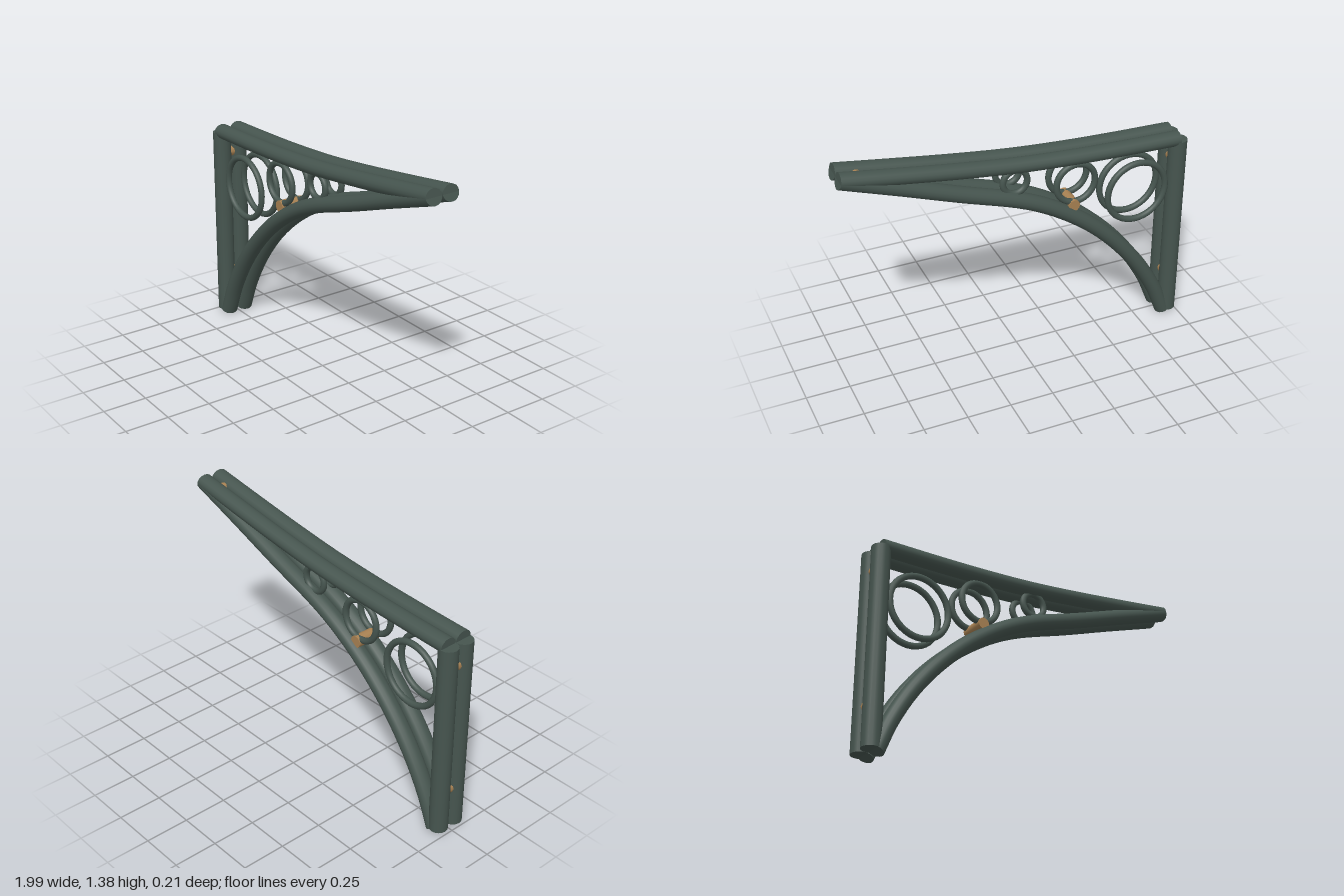
import * as THREE from 'three';
import { mergeGeometries } from 'three/addons/utils/BufferGeometryUtils.js';

const SIDES = 16;
const OFFSET = 0.0525; // distance of each frame from the middle plane

// Capped tube along a planar curve, slightly wider in z than it is tall
function cappedTube(points, radius, depth) {
  const curve = new THREE.CatmullRomCurve3(points.map(([x, y]) => new THREE.Vector3(x, y, 0)));
  const cap = (t, sign) => {
    const disc = new THREE.CircleGeometry(radius, SIDES);
    disc.lookAt(curve.getTangentAt(t).multiplyScalar(sign));
    const p = curve.getPointAt(t);
    return disc.translate(p.x, p.y, p.z);
  };
  const tube = new THREE.TubeGeometry(curve, 40, radius, SIDES);
  return mergeGeometries([tube, cap(0, -1), cap(1, 1)]).scale(1, 1, depth / radius);
}

export function createModel() {
  const iron = new THREE.MeshStandardMaterial({ color: 0x46554f });
  iron.name = 'dark green iron';
  const brass = new THREE.MeshStandardMaterial({ color: 0xa88152 });
  brass.name = 'tan bolt';

  const model = new THREE.Group();
  model.name = 'bracket';
  const add = (parent, name, geometry, material, x = 0, y = 0) => {
    const mesh = new THREE.Mesh(geometry, material);
    mesh.name = name;
    mesh.position.set(x, y, 0);
    parent.add(mesh);
    return mesh;
  };

  const postGeo = new THREE.CylinderGeometry(0.0525, 0.0525, 1.13, SIDES);
  const beamGeo = cappedTube([
    [-0.945, 1.16], [-0.6, 1.171], [-0.31, 1.185], [0.01, 1.21],
    [0.33, 1.249], [0.65, 1.295], [0.98, 1.345],
  ], 0.042, 0.05);
  const braceGeo = cappedTube([
    [-0.92, 0.02], [-0.85, 0.19], [-0.74, 0.38], [-0.6, 0.56], [-0.45, 0.71], [-0.31, 0.82],
    [-0.15, 0.92], [0.01, 0.995], [0.33, 1.107], [0.65, 1.225], [0.98, 1.343],
  ], 0.044, 0.05);

  // Decorative rings: x, y, radius
  const rings = [[-0.705, 0.877, 0.178], [-0.328, 1.02, 0.115], [0.03, 1.112, 0.07]]
    .map(([x, y, r]) => [new THREE.TorusGeometry(r, 0.018, 10, 40), x, y]);

  // Two identical side frames
  for (const [name, side] of [['frontFrame', 1], ['backFrame', -1]]) {
    const frame = new THREE.Group();
    frame.name = name;
    frame.position.z = side * OFFSET;
    add(frame, 'post', postGeo, iron, -0.9475, 0.59);
    add(frame, 'topBeam', beamGeo, iron);
    add(frame, 'curvedBrace', braceGeo, iron);
    for (const [geo, x, y] of rings) add(frame, 'ring', geo, iron, x, y);
    model.add(frame);
  }

  // Bolts joining the two frames
  const boltGeo = new THREE.CylinderGeometry(0.034, 0.034, 0.15, 12).rotateX(Math.PI / 2);
  for (const [x, y] of [[-0.947, 1.03], [-0.947, 0.265], [-0.313, 0.89], [0.875, 1.318]]) {
    add(model, 'bolt', boltGeo, brass, x, y);
  }
  return model;
}
